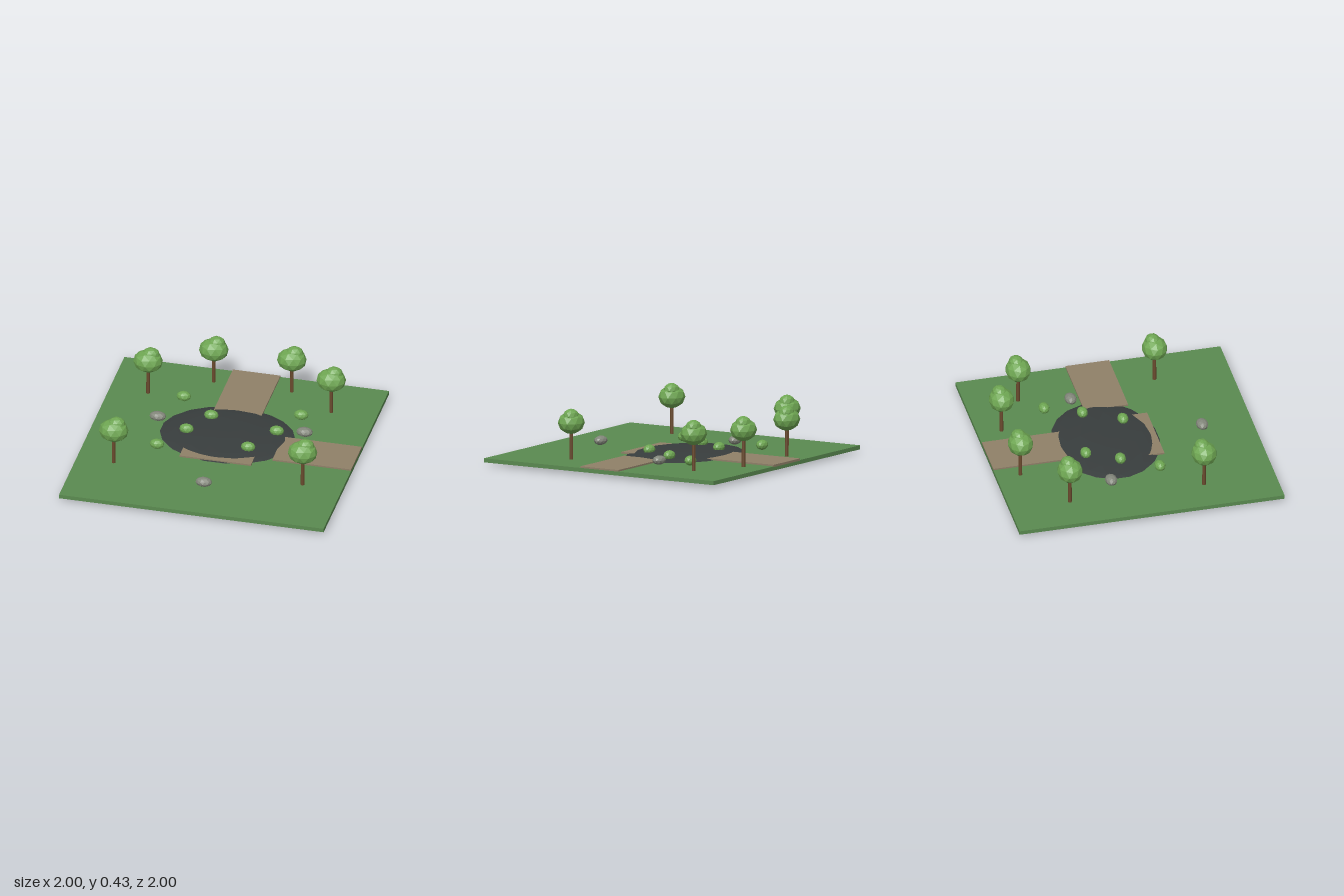
import * as THREE from 'three';

const mat = (color) => new THREE.MeshStandardMaterial({ color, flatShading: true });
const mats = {
  grass: mat(0x5a8a50), path: mat(0x8f8068), water: mat(0x383d3d),
  trunk: mat(0x6a4a2e), leaf: mat(0x6ea652), rock: mat(0x82867a),
};

// Faceted ball with a vertex at its top, squashed to the given radii
function ball(rx, ry, rz, detail = 1) {
  const g = new THREE.IcosahedronGeometry(1, detail);
  g.rotateZ(Math.atan(2 / (1 + Math.sqrt(5))));
  g.scale(rx, ry, rz);
  g.computeVertexNormals();
  return g;
}

export function createModel() {
  const model = new THREE.Group();
  model.name = 'parkWithPond';

  const add = (parent, name, geometry, material, x, y, z) => {
    const mesh = new THREE.Mesh(geometry, material);
    mesh.name = name;
    mesh.position.set(x, y, z);
    parent.add(mesh);
    return mesh;
  };

  // Slab given by its extents
  const slab = (name, material, x0, x1, y0, y1, z0, z1) =>
    add(model, name, new THREE.BoxGeometry(x1 - x0, y1 - y0, z1 - z0), material,
      (x0 + x1) / 2, (y0 + y1) / 2, (z0 + z1) / 2);

  // Lawn and the paths that run into the pond
  slab('lawn', mats.grass, -1, 1, 0.02, 0.05, -1, 1);
  slab('backPath', mats.path, -0.18, 0.18, 0.045, 0.062, -1, -0.4);
  slab('sidePath', mats.path, 0.405, 1, 0.045, 0.062, -0.17, 0.16);
  slab('frontDeck', mats.path, -0.27, 0.27, 0.045, 0.062, 0.08, 0.27);

  // Pond: a flattened ball sunk through the lawn
  add(model, 'pond', ball(0.52, 0.04, 0.41, 3), mats.water, 0, 0.04, -0.11);

  // Trees: trunk with a large and a small crown
  const trunk = new THREE.CylinderGeometry(0.013, 0.014, 0.22, 8);
  const crown = ball(0.11, 0.086, 0.095);
  const crownTop = ball(0.065, 0.053, 0.057);
  [[-0.71, -0.55], [-0.28, -0.82], [0.31, -0.82], [0.66, -0.61], [0.7, 0.43], [-0.72, 0.46]]
    .forEach(([x, z]) => {
      const tree = new THREE.Group();
      tree.name = 'tree';
      tree.position.set(x, 0, z);
      add(tree, 'trunk', trunk, mats.trunk, 0, 0.16, 0);
      add(tree, 'crown', crown, mats.leaf, 0, 0.325, 0);
      add(tree, 'crownTop', crownTop, mats.leaf, 0.02, 0.378, -0.01);
      model.add(tree);
    });

  // Bushes and lily clumps
  const bush = ball(0.054, 0.038, 0.041);
  [[-0.43, -0.51], [0.47, -0.46], [-0.17, -0.3], [0.35, -0.2], [-0.3, -0.07], [0.2, 0.07], [-0.46, 0.19]]
    .forEach(([x, z]) => add(model, 'bush', bush, mats.leaf, x, 0.088, z));

  // Rocks
  const rock = ball(0.062, 0.035, 0.045);
  [[-0.55, -0.2], [0.55, -0.24], [0, 0.62]]
    .forEach(([x, z]) => add(model, 'rock', rock, mats.rock, x, 0.083, z));

  return model;
}
